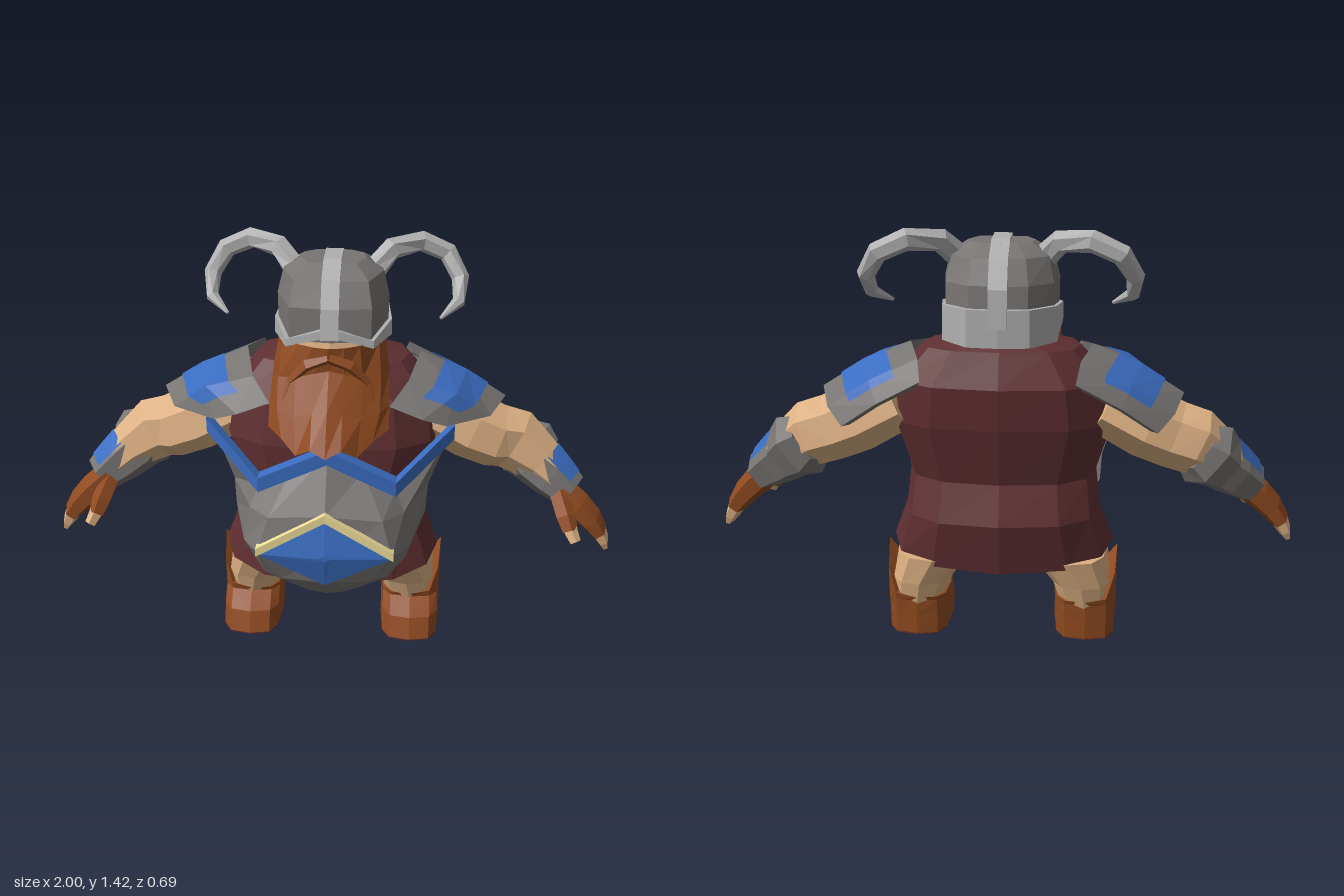
import * as THREE from 'three';

const COLOR = {
  cloth: 0x5f2f32, leather: 0x8f4a20, skin: 0xdcb083, blue: 0x3a6cc0,
  iron: 0x777472, steel: 0xb0b0b0, gold: 0xeedd99,
};

// Skin a list of cross-sections (rows of [x,y,z]) with flat facets.
function loft(rows, { closed = true, caps = closed } = {}) {
  const pos = [];
  const tri = (a, b, c) => pos.push(...a, ...b, ...c);
  const n = rows[0].length;
  for (let i = 0; i < rows.length - 1; i++) {
    for (let j = 0; j < (closed ? n : n - 1); j++) {
      const k = (j + 1) % n;
      tri(rows[i][j], rows[i][k], rows[i + 1][k]);
      tri(rows[i][j], rows[i + 1][k], rows[i + 1][j]);
    }
  }
  if (caps) {
    for (const [row, flip] of [[rows[0], true], [rows[rows.length - 1], false]]) {
      const mid = [0, 1, 2].map(a => row.reduce((s, p) => s + p[a], 0) / n);
      row.forEach((p, j) => {
        const q = row[(j + 1) % n];
        flip ? tri(q, p, mid) : tri(p, q, mid);
      });
    }
  }
  const g = new THREE.BufferGeometry();
  g.setAttribute('position', new THREE.Float32BufferAttribute(pos, 3));
  g.computeVertexNormals();
  return g;
}

// Horizontal rounded box from its side, front and back limits; rise(s) lifts corners by side position.
function oval(y, x0, x1, zf, zb, { n = 12, e = 0.75, rise = () => 0 } = {}) {
  const pow = v => Math.sign(v) * Math.abs(v) ** e;
  return Array.from({ length: n }, (_, j) => {
    const s = Math.sin(j / n * Math.PI * 2), c = Math.cos(j / n * Math.PI * 2);
    return [(x0 + x1) / 2 + (x1 - x0) / 2 * pow(s), y + rise(s), (zf + zb) / 2 + (zf - zb) / 2 * pow(c)];
  });
}

// Sweep along points [x, y, z, r1, r2]; a partial arc makes an open panel.
function sweep(path, n = 6, { ref = [0, 0, 1], a0 = 0, a1 = Math.PI * 2, grow = 0 } = {}) {
  const P = path.map(p => new THREE.Vector3(p[0], p[1], p[2]));
  const full = a1 - a0 > 6.2;
  const rows = P.map((p, i) => {
    const t = P[Math.min(i + 1, P.length - 1)].clone().sub(P[Math.max(i - 1, 0)]).normalize();
    const v = new THREE.Vector3(...ref);
    v.addScaledVector(t, -v.dot(t)).normalize();
    const u = v.clone().cross(t);
    const r1 = path[i][3] + grow, r2 = (path[i][4] ?? path[i][3]) + grow;
    return Array.from({ length: full ? n : n + 1 }, (_, j) => {
      const a = a0 + (a1 - a0) * j / n;
      return p.clone().addScaledVector(u, Math.cos(a) * r1).addScaledVector(v, Math.sin(a) * r2).toArray();
    });
  });
  return loft(rows, { closed: full });
}

// Square bar through points running left to right.
const bar = (path, hy, hz) => loft(path.map(([x, y, z]) =>
  [[hy, -hz], [hy, hz], [-hy, hz], [-hy, -hz]].map(([a, b]) => [x, y + a, z + b])));

// Complete a half row (x >= 0) to a full left-right row or a closed ring.
const flipX = ([x, y, z]) => [-x, y, z];
const wide = half => [...half.slice(1).reverse().map(flipX), ...half];
const ring = half => [...half, ...half.slice(1, -1).reverse().map(flipX)];

function mirrored(geo) {
  const g = geo.clone(), p = g.attributes.position;
  for (let i = 0; i < p.count; i += 3) {
    const v = [0, 2, 1].map(k => [-p.getX(i + k), p.getY(i + k), p.getZ(i + k)]);
    v.forEach((q, k) => p.setXYZ(i + k, ...q));
  }
  g.computeVertexNormals();
  return g;
}

export function createModel() {
  const model = new THREE.Group();
  const mats = {};
  for (const k in COLOR) {
    mats[k] = new THREE.MeshStandardMaterial({ color: COLOR[k], flatShading: true, side: THREE.DoubleSide });
  }
  const add = (name, geo, color) => {
    const m = new THREE.Mesh(geo, mats[color]);
    m.name = name;
    model.add(m);
  };
  const pair = (name, geo, color) => {
    add(name + 'Left', geo, color);
    add(name + 'Right', mirrored(geo), color);
  };

  // Tunic, its hem higher at the sides, and neck
  const hem = { rise: s => 0.05 * s * s };
  add('tunic', loft([
    [0.275, 0.12, 0.06, -0.18], [0.265, 0.385, 0.17, -0.285, hem], [0.45, 0.335, 0.16, -0.32],
    [0.58, 0.32, 0.14, -0.27], [0.78, 0.38, 0.14, -0.315], [0.92, 0.36, 0.11, -0.325],
    [1.03, 0.26, 0.01, -0.27], [1.065, 0.12, -0.06, -0.21],
  ].map(([y, r, f, b, opt]) => oval(y, -r, r, f, b, opt))), 'cloth');
  add('head', loft([oval(1.0, -0.13, 0.13, 0.03, -0.25), oval(1.1, -0.16, 0.16, 0.08, -0.26),
    oval(1.18, -0.15, 0.15, 0.06, -0.26)]), 'skin');

  // Belly armour, its blue collar trim and diamond badge
  add('bellyPlate', loft([
    [[0, 0.79, 0.19], [0.12, 0.73, 0.19], [0.23, 0.67, 0.19], [0.41, 0.82, 0.04]],
    [[0, 0.62, 0.305], [0.19, 0.6, 0.29], [0.26, 0.6, 0.22], [0.34, 0.6, 0.02]],
    [[0, 0.48, 0.33], [0.225, 0.48, 0.32], [0.28, 0.48, 0.24], [0.335, 0.5, 0.03]],
    [[0, 0.36, 0.305], [0.15, 0.36, 0.285], [0.21, 0.36, 0.25], [0.27, 0.36, 0.12]],
    [[0, 0.26, 0.22], [0.06, 0.27, 0.22], [0.12, 0.28, 0.2], [0.18, 0.3, 0.16]],
  ].reverse().map(wide), { closed: false }), 'iron');
  add('collarTrim', bar(wide([[0, 0.795, 0.2], [0.23, 0.685, 0.2], [0.42, 0.83, 0.05]]), 0.026, 0.024), 'blue');
  const diamond = (k, zMid, zSide, zEnd) => [[0.225 * k, 0.48, zSide], [0, 0.48 + 0.13 * k, zEnd],
    [-0.225 * k, 0.48, zSide], [0, 0.48 - 0.12 * k, zMid]];
  add('badge', loft([diamond(1, 0.28, 0.3, 0.28), diamond(1, 0.318, 0.328, 0.314),
    diamond(0.1, 0.345, 0.345, 0.345)]), 'blue');
  add('badgeChevron', bar(wide([[0, 0.618, 0.302], [0.23, 0.488, 0.317]]), 0.015, 0.016), 'gold');

  // Legs and boots, the boot cuff rising to a point on the outside
  pair('thigh', loft([oval(0.08, 0.21, 0.38, 0.02, -0.22), oval(0.2, 0.17, 0.385, 0.06, -0.25),
    oval(0.3, 0.09, 0.365, 0.11, -0.27)]), 'skin');
  const boot = (y, zf, zb, rise) => oval(y, 0.184, 0.4, zf, zb, { e: 0.6, rise });
  pair('boot', loft([boot(0.004, 0.13, -0.23), boot(0.08, 0.1, -0.23), boot(0.13, 0.035, -0.23),
    boot(0.145, 0.04, -0.235, s => 0.165 * Math.max(0, s) ** 4)]), 'leather');
  pair('sole', loft([boot(0, 0.13, -0.23), boot(0.005, 0.13, -0.23)]), 'cloth');

  // Arms, bracers and hands
  pair('arm', sweep([[0.34, 0.84, -0.13, 0.11, 0.14], [0.48, 0.77, -0.13, 0.12, 0.15],
    [0.57, 0.73, -0.13, 0.115, 0.135], [0.64, 0.71, -0.14, 0.115, 0.12],
    [0.74, 0.64, -0.11, 0.085, 0.09], [0.84, 0.55, -0.07, 0.05, 0.06]], 7), 'skin');
  const bracer = [[0.67, 0.68, -0.14, 0.09, 0.09], [0.715, 0.64, -0.125, 0.1, 0.1],
    [0.78, 0.59, -0.1, 0.09, 0.095], [0.845, 0.54, -0.075, 0.07, 0.08]];
  pair('bracer', sweep(bracer), 'iron');
  pair('elbowCuff', sweep([[0.65, 0.695, -0.165, 0.095, 0.09], [0.69, 0.665, -0.155, 0.122, 0.11],
    [0.735, 0.63, -0.135, 0.1, 0.1]]), 'iron');
  pair('bracerPanel', sweep([[0.735, 0.625, -0.118, 0.1, 0.1], bracer[2], [0.825, 0.557, -0.083, 0.077, 0.085]],
    2, { a0: -0.75, a1: 0.95, grow: 0.005 }), 'blue');
  pair('glove', sweep([[0.8, 0.56, -0.07, 0.05, 0.065], [0.87, 0.5, -0.055, 0.052, 0.072],
    [0.92, 0.45, -0.05, 0.045, 0.07], [0.957, 0.4, -0.05, 0.034, 0.066]]), 'leather');
  pair('fingers', sweep([[0.95, 0.41, -0.05, 0.032, 0.063], [0.975, 0.365, -0.05, 0.024, 0.057],
    [0.985, 0.34, -0.05, 0.014, 0.047]]), 'skin');
  pair('gloveThumb', sweep([[0.8, 0.55, -0.04, 0.035], [0.825, 0.49, 0.03, 0.036],
    [0.84, 0.45, 0.06, 0.028]], 5), 'leather');
  pair('thumb', sweep([[0.838, 0.46, 0.055, 0.026], [0.86, 0.42, 0.08, 0.02]], 5), 'skin');

  // Shoulder pads: a thick curved shell with a blue panel
  const pad = [
    [[0.20, 0.93, 0.10], [0.26, 1.0, 0.04], [0.30, 1.035, -0.14], [0.26, 1.01, -0.28], [0.245, 0.95, -0.345]],
    [[0.31, 0.89, 0.11], [0.42, 0.955, 0.04], [0.46, 0.965, -0.14], [0.42, 0.93, -0.275], [0.39, 0.87, -0.33]],
    [[0.39, 0.86, 0.09], [0.54, 0.865, 0.01], [0.60, 0.875, -0.14], [0.565, 0.835, -0.25], [0.51, 0.785, -0.305]],
  ];
  const pivot = [0.34, 0.78, -0.13];
  const lerp = (a, b, t) => a.map((v, i) => v + (b[i] - v) * t);
  const toPivot = k => p => lerp(pivot, p, k);
  const inner = toPivot(0.86);
  const shell = [pad[0].map(inner), ...pad, pad[2].map(inner)]
    .map(r => [inner(r[0]), ...r, inner(r[4])]).reverse();
  pair('shoulderPad', loft(shell, { closed: false }), 'iron');
  const sample = (u, v) => {
    const i = Math.min(1, Math.floor(u * 2)), j = Math.min(3, Math.floor(v * 4));
    const row = r => lerp(r[j], r[j + 1], v * 4 - j);
    return lerp(row(pad[i]), row(pad[i + 1]), u * 2 - i);
  };
  pair('shoulderPanel', loft([0.76, 0.5, 0.26].map(u =>
    [0.15, 0.25, 0.5, 0.75, 0.84].map(v => toPivot(1.025)(sample(u, v)))), { closed: false }), 'blue');

  // Beard and moustache
  add('beard', loft([
    [[0, 1.14, 0.125], [0.05, 1.14, 0.115], [0.1, 1.14, 0.09], [0.16, 1.13, 0.02], [0.18, 1.12, -0.06], [0.17, 1.11, -0.17]],
    [[0, 1.06, 0.12], [0.05, 1.05, 0.12], [0.11, 1.03, 0.11], [0.17, 1.02, 0.08], [0.195, 1.02, 0], [0.17, 1.03, -0.12]],
    [[0, 0.95, 0.205], [0.05, 0.94, 0.195], [0.11, 0.92, 0.18], [0.17, 0.93, 0.14], [0.2, 0.93, 0.09], [0.17, 0.96, 0.02]],
    [[0, 0.83, 0.30], [0.05, 0.85, 0.28], [0.1, 0.815, 0.25], [0.15, 0.85, 0.2], [0.2, 0.865, 0.14], [0.16, 0.9, 0.08]],
    [[0, 0.85, 0.2], [0.05, 0.87, 0.18], [0.1, 0.85, 0.17], [0.14, 0.88, 0.13], [0.16, 0.89, 0.1], [0.14, 0.92, 0.05]],
    [[0, 0.96, 0.05], [0.05, 0.96, 0.05], [0.1, 0.96, 0.05], [0.12, 0.96, 0.04], [0.13, 0.96, 0.02], [0.13, 0.97, 0]],
  ].reverse().map(wide), { closed: false }), 'leather');
  pair('moustache', sweep([[0, 1.105, 0.118, 0.02], [0.07, 1.075, 0.112, 0.022],
    [0.13, 1.01, 0.1, 0.014], [0.15, 0.96, 0.13, 0.003]], 4), 'leather');

  // Helmet: dome, brow band dipping at the nape, crest and horns
  const plan = [[0, 0.075], [0.13, 0.06], [0.18, -0.1], [0.165, -0.24], [0.09, -0.31], [0, -0.32]];
  const level = (sx, sz, ys) => ring(plan.map(([x, z], i) =>
    [x * sx, Array.isArray(ys) ? ys[i] : ys, -0.13 + (z + 0.13) * sz]));
  add('helmetDome', loft([level(1.03, 1, 1.14), level(1.04, 0.94, 1.25), level(0.93, 0.75, 1.33),
    level(0.6, 0.4, 1.368)]), 'iron');
  const low = [1.165, 1.125, 1.11, 1.065, 1.06, 1.06], high = [1.195, 1.15, 1.165, 1.18, 1.18, 1.18];
  add('helmetBand', loft([level(0.99, 0.97, low), level(1.11, 1.08, low), level(1.1, 1.07, high),
    level(0.99, 0.97, high)], { caps: false }), 'steel');
  add('helmetCrest', sweep([[0, 1.155, 0.088], [0, 1.25, 0.064], [0, 1.328, 0.02], [0, 1.368, -0.06],
    [0, 1.366, -0.18], [0, 1.325, -0.272], [0, 1.24, -0.318], [0, 1.12, -0.332]]
    .map(p => [...p, 0.018, 0.042]), 4, { ref: [1, 0, 0], a0: Math.PI / 4, a1: Math.PI * 2.25 }), 'steel');
  pair('horn', sweep([[0.12, 1.30, -0.14, 0.042], [0.19, 1.375, -0.20, 0.038], [0.29, 1.385, -0.26, 0.036],
    [0.38, 1.345, -0.265, 0.034], [0.425, 1.27, -0.225, 0.03], [0.42, 1.205, -0.165, 0.023],
    [0.36, 1.165, -0.11, 0.006]], 6), 'steel');

  return model;
}
